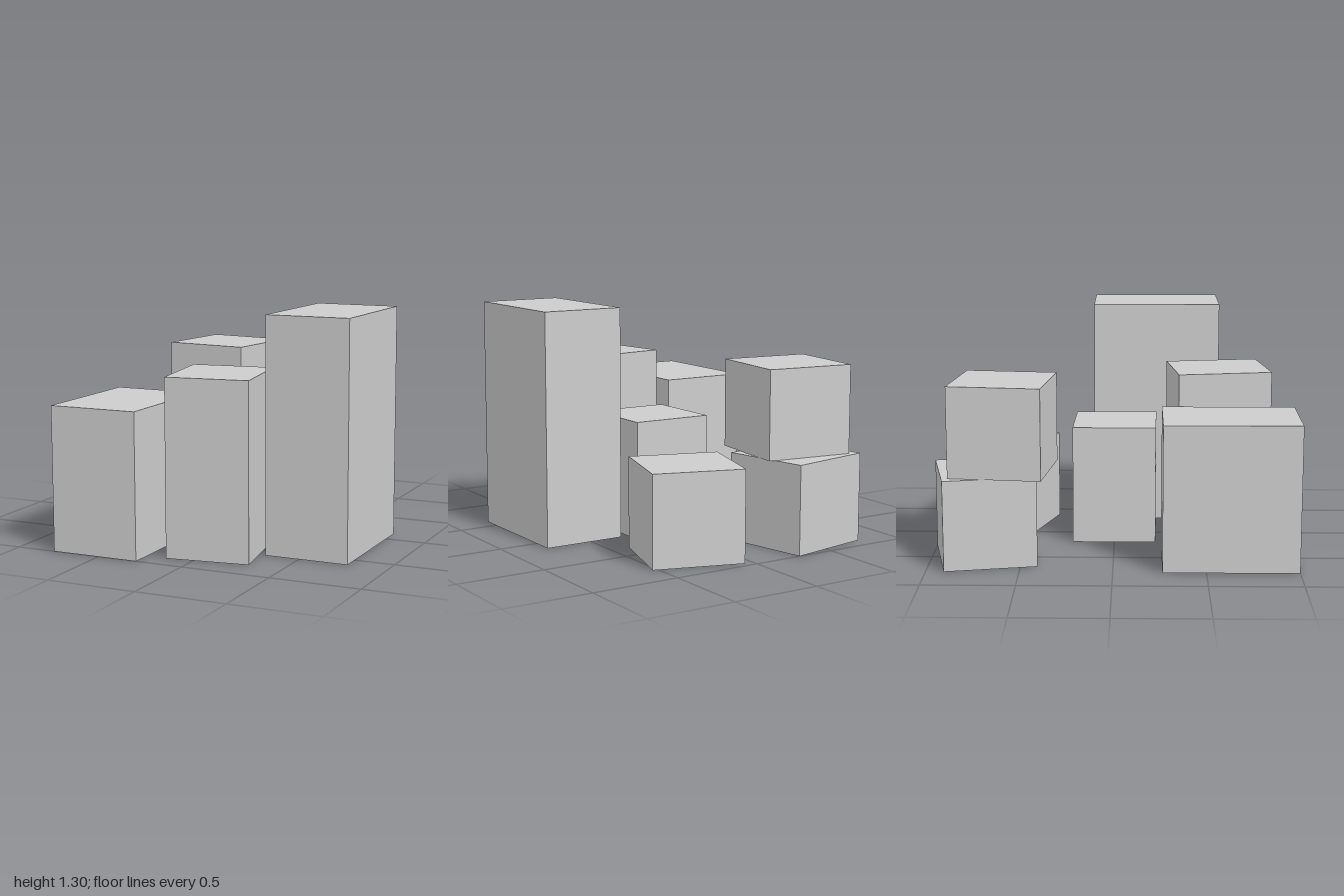
import * as THREE from 'three';

// Each block: base height, top height, and three footprint corners [x, z]:
// back-right, back-left and front-left; the fourth completes the parallelogram.
const blocks = [
  { name: 'frontRightBlock', y0: 0, y1: 0.802, a: [-0.775, 0.265], b: [-0.27, 0.265], c: [-0.27, 1.0] },
  { name: 'tallLeftBlock', y0: 0, y1: 1.297, a: [0.305, -0.126], b: [0.775, -0.126], c: [0.775, 0.606] },
  { name: 'frontMiddleBlock', y0: 0, y1: 0.976, a: [-0.243, 0.36], b: [0.215, 0.299], c: [0.305, 0.82] },
  { name: 'centreBlock', y0: 0, y1: 0.666, a: [-0.202, -0.235], b: [0.258, -0.226], c: [0.262, 0.242] },
  { name: 'backLeftBlock', y0: 0, y1: 0.508, a: [0.05, -0.963], b: [0.532, -0.812], c: [0.386, -0.341] },
  { name: 'stackLowerBlock', y0: 0, y1: 0.497, a: [-0.775, -0.902], b: [-0.283, -1.0], c: [-0.182, -0.505] },
  { name: 'stackUpperBlock', y0: 0.497, y1: 0.994, a: [-0.712, -0.881], b: [-0.209, -0.82], c: [-0.27, -0.318] },
];

export function createModel() {
  const group = new THREE.Group();
  group.name = 'blockCluster';
  const paleGrey = new THREE.MeshStandardMaterial({ color: 0xcccccc });
  paleGrey.name = 'paleGrey';

  for (const { name, y0, y1, a, b, c } of blocks) {
    // Map a unit box onto the footprint: width edge, height, depth edge, centre
    const matrix = new THREE.Matrix4().makeBasis(
      new THREE.Vector3(b[0] - a[0], 0, b[1] - a[1]),
      new THREE.Vector3(0, y1 - y0, 0),
      new THREE.Vector3(c[0] - b[0], 0, c[1] - b[1]),
    );
    matrix.setPosition((a[0] + c[0]) / 2, (y0 + y1) / 2, (a[1] + c[1]) / 2);
    const geometry = new THREE.BoxGeometry(1, 1, 1).applyMatrix4(matrix);
    const mesh = new THREE.Mesh(geometry, paleGrey);
    mesh.name = name;
    group.add(mesh);
  }
  return group;
}
